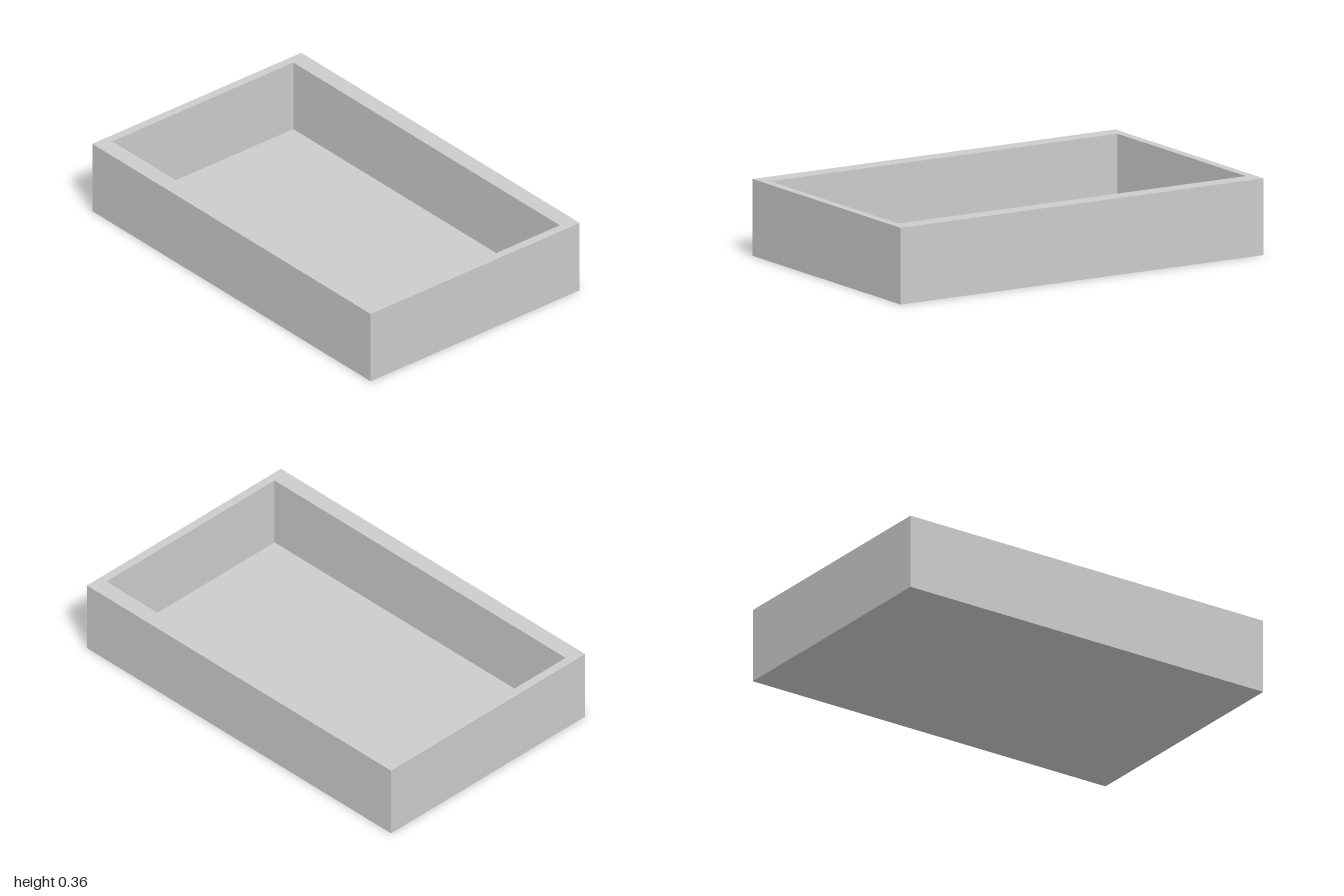
import * as THREE from 'three';

const WIDTH = 1.268, LENGTH = 2, HEIGHT = 0.364;
const INNER_WIDTH = 1.098, INNER_LENGTH = 1.914, FLOOR = 0.004;

// Traces a centred rectangle on a Shape or Path
function rectangle(path, w, l) {
  path.moveTo(-w / 2, -l / 2);
  path.lineTo(w / 2, -l / 2);
  path.lineTo(w / 2, l / 2);
  path.lineTo(-w / 2, l / 2);
  path.closePath();
  return path;
}

export function createModel() {
  const group = new THREE.Group();
  group.name = 'openTray';
  const material = new THREE.MeshStandardMaterial({ color: 0xcccccc });

  // Four walls as one frame, extruded upwards
  const outline = rectangle(new THREE.Shape(), WIDTH, LENGTH);
  outline.holes.push(rectangle(new THREE.Path(), INNER_WIDTH, INNER_LENGTH));
  const wallGeometry = new THREE.ExtrudeGeometry(outline, { depth: HEIGHT, bevelEnabled: false });
  wallGeometry.rotateX(-Math.PI / 2);
  const walls = new THREE.Mesh(wallGeometry, material);
  walls.name = 'walls';
  group.add(walls);

  // Thin floor panel set inside the frame
  const floor = new THREE.Mesh(new THREE.BoxGeometry(INNER_WIDTH, FLOOR, INNER_LENGTH), material);
  floor.name = 'floor';
  floor.position.y = FLOOR / 2;
  group.add(floor);

  return group;
}
